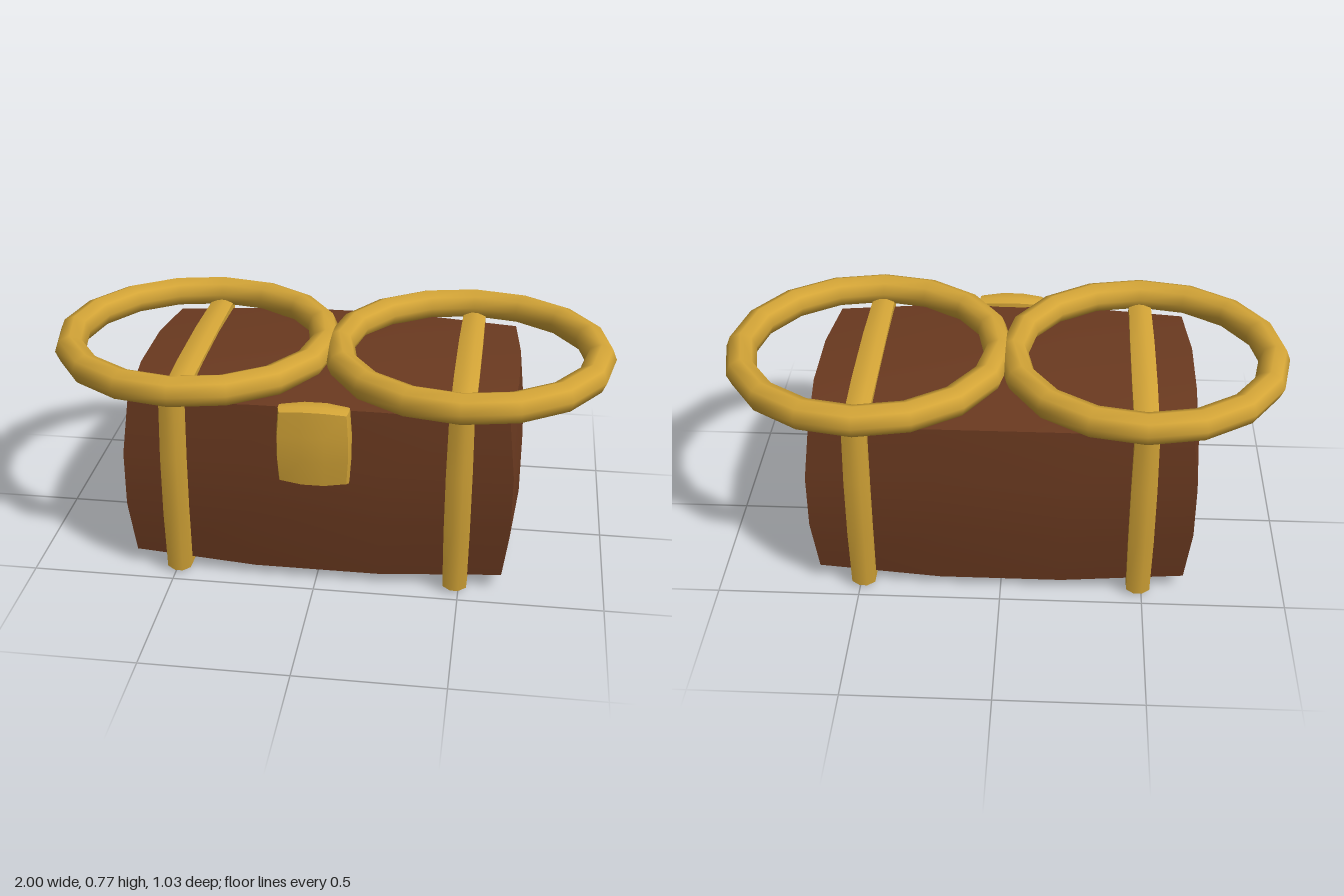
import * as THREE from 'three';

// Box whose faces swell outwards: each coordinate loses `d` for every other axis that is at its edge
function bulgedBox(hx, hy, hz, dx, dy, dz) {
  const geo = new THREE.BoxGeometry(2, 2, 2, 3, 3, 3);
  const p = geo.attributes.position;
  const edge = (t) => (Math.abs(t) > 0.9 ? 1 : 0);
  for (let i = 0; i < p.count; i++) {
    const u = p.getX(i), v = p.getY(i), w = p.getZ(i);
    const eu = edge(u), ev = edge(v), ew = edge(w);
    p.setXYZ(i,
      u * (hx - dx * (ev + ew)),
      v * (hy - dy * (eu + ew)),
      w * (hz - dz * (eu + ev)));
  }
  geo.computeVertexNormals();
  return geo;
}

export function createModel() {
  const model = new THREE.Group();
  model.name = 'chest';

  const wood = new THREE.MeshStandardMaterial({ color: 0x6b3a20 });
  wood.name = 'brown wood';
  const gold = new THREE.MeshStandardMaterial({ color: 0xd4a537 });
  gold.name = 'gold metal';

  const add = (name, geo, mat, x, y, z) => {
    const mesh = new THREE.Mesh(geo, mat);
    mesh.name = name;
    mesh.position.set(x, y, z);
    model.add(mesh);
    return mesh;
  };

  // Wooden body
  add('body', bulgedBox(0.69, 0.335, 0.45, 0.022, 0.02, 0.02), wood, 0, 0.352, 0);

  // Front lock plate
  add('lock', bulgedBox(0.125, 0.143, 0.049, 0.006, 0.008, 0.008), gold, 0, 0.548, 0.456);

  // Straps around the body and rings lying on top, one pair per side
  const strapGeo = bulgedBox(0.047, 0.35, 0.47, 0.003, 0.01, 0.01);
  const ringGeo = new THREE.TorusGeometry(0.46, 0.055, 8, 16).rotateX(-Math.PI / 2);
  for (const [side, s] of [['left', 1], ['right', -1]]) {
    add(side + 'Strap', strapGeo, gold, s * 0.487, 0.35, 0);
    add(side + 'Ring', ringGeo, gold, s * 0.485, 0.713, 0);
  }
  return model;
}
